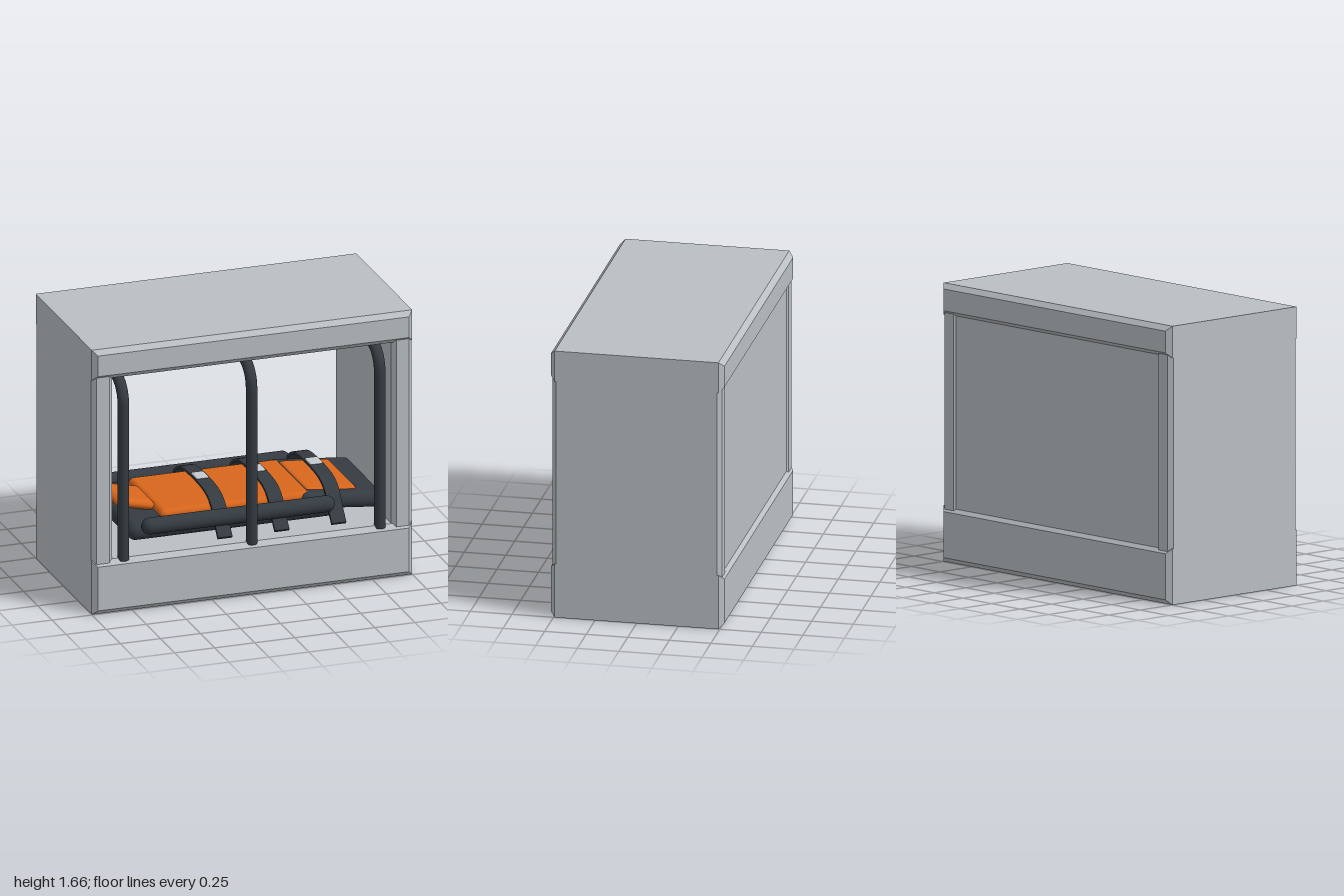
import * as THREE from 'three';
import { RoundedBoxGeometry } from 'three/addons/geometries/RoundedBoxGeometry.js';

const mat = (name, color, extra = {}) => {
  const m = new THREE.MeshStandardMaterial({ color, ...extra });
  m.name = name;
  return m;
};

// Box with chamfered edges, centred on the origin
function chamferBox(w, h, d, c) {
  const x = w / 2 - c, y = h / 2 - c;
  const s = new THREE.Shape([[-x, -y], [x, -y], [x, y], [-x, y]].map(p => new THREE.Vector2(...p)));
  const g = new THREE.ExtrudeGeometry(s, {
    depth: d - 2 * c, bevelEnabled: true, bevelThickness: c, bevelSize: c, bevelSegments: 1,
  });
  return g.translate(0, 0, c - d / 2);
}

export function createModel() {
  const root = new THREE.Group();
  root.name = 'stretcherCabinet';
  const body = mat('casing grey', 0xb9bfc3);
  const dark = mat('dark rubber', 0x343b41);
  const orange = mat('orange fabric', 0xd8661c);
  const cyan = mat('cyan light', 0x14aabc);
  const metal = mat('buckle grey', 0xc6cbcf);

  const add = (parent, name, geo, m, x = 0, y = 0, z = 0, tilt = 0) => {
    const mesh = new THREE.Mesh(geo, m);
    mesh.name = name;
    mesh.position.set(x, y, z);
    mesh.rotation.z = tilt;
    parent.add(mesh);
    return mesh;
  };

  // Casing: base, roof, side walls and outward-facing back panel
  const casing = new THREE.Group();
  casing.name = 'casing';
  root.add(casing);
  add(casing, 'base', chamferBox(2, 0.335, 1.045, 0.03), body, 0, 0.1675, 0);
  add(casing, 'roof', chamferBox(2, 0.19, 1.045, 0.03), body, 0, 1.57, 0);
  for (const s of [1, -1]) {
    add(casing, 'sideWall', chamferBox(0.13, 1.61, 1.02, 0.025), body, s * 0.935, 0.8325, 0);
  }
  const back = add(casing, 'backPanel', new THREE.PlaneGeometry(1.82, 1.24), body, 0, 0.905, -0.5);
  back.rotation.y = Math.PI;

  // Guard bars rising from the sill and curving back beneath the roof
  const bar = new THREE.CurvePath();
  const v = (y, z) => new THREE.Vector3(0, y, z);
  bar.add(new THREE.LineCurve3(v(0.32, 0.487), v(1.29, 0.487)));
  bar.add(new THREE.CubicBezierCurve3(v(1.29, 0.487), v(1.38, 0.487), v(1.442, 0.42), v(1.442, 0.33)));
  bar.add(new THREE.LineCurve3(v(1.442, 0.33), v(1.442, 0)));
  const barGeo = new THREE.TubeGeometry(bar, 60, 0.034, 16);
  for (const x of [-0.8, 0, 0.8]) add(root, 'guardBar', barGeo, dark, x);

  // Light tube under the roof
  const tube = new THREE.CylinderGeometry(0.016, 0.016, 1.6, 12).rotateZ(Math.PI / 2);
  add(root, 'lightTube', tube, cyan, 0, 1.445, 0);

  // Stretcher: dark frame pads, side bolsters and orange upholstery
  const bed = new THREE.Group();
  bed.name = 'stretcher';
  root.add(bed);
  add(bed, 'basePad', new RoundedBoxGeometry(1.3, 0.115, 0.74, 4, 0.055), dark, -0.07, 0.425, 0);
  add(bed, 'legPad', new RoundedBoxGeometry(0.52, 0.1, 0.66, 4, 0.048), dark, 0.63, 0.445, 0, -0.1);
  const bolster = new THREE.CapsuleGeometry(0.05, 1.1, 8, 20).rotateZ(Math.PI / 2);
  for (const s of [1, -1]) add(bed, 'sideBolster', bolster, dark, -0.05, 0.47, s * 0.39);
  add(bed, 'mattress', new RoundedBoxGeometry(0.94, 0.08, 0.6, 4, 0.035), orange, -0.03, 0.48, 0);
  add(bed, 'legCushion', new RoundedBoxGeometry(0.32, 0.05, 0.5, 4, 0.024), orange, 0.58, 0.488, 0, -0.08);

  // Pillow, thinned toward its rim
  const pillowGeo = new RoundedBoxGeometry(0.25, 0.075, 0.31, 10, 0.036);
  const pos = pillowGeo.attributes.position;
  for (let i = 0; i < pos.count; i++) {
    const u = pos.getX(i) / 0.125, w = pos.getZ(i) / 0.155;
    pos.setY(i, pos.getY(i) * (1 - 0.3 * Math.max(u * u, w * w)));
  }
  pillowGeo.computeVertexNormals();
  add(bed, 'pillow', pillowGeo, orange, -0.61, 0.525, 0.02, -0.22);

  // Straps arching over the bed and tucking inside the bolsters
  const half = [[0.45, 0.365], [0.385, 0.44], [0.33, 0.52], [0.24, 0.57], [0.1, 0.588]];
  const arc = new THREE.SplineCurve(
    [...half, ...half.map(([z, y]) => [-z, y]).reverse()].map(p => new THREE.Vector2(...p)));
  const top = arc.getPoints(32);
  const under = top.map(p => new THREE.Vector2(p.x * 0.97, p.y - 0.014)).reverse();
  const strapGeo = new THREE.ExtrudeGeometry(new THREE.Shape([...top, ...under]),
    { depth: 0.09, bevelEnabled: false }).translate(0, 0, -0.045).rotateY(Math.PI / 2);
  for (const x of [-0.15, 0.205, 0.56]) {
    add(bed, 'strap', strapGeo, dark, x);
    add(bed, 'buckle', new RoundedBoxGeometry(0.08, 0.022, 0.1, 2, 0.008), metal, x, 0.589, 0);
  }
  return root;
}
